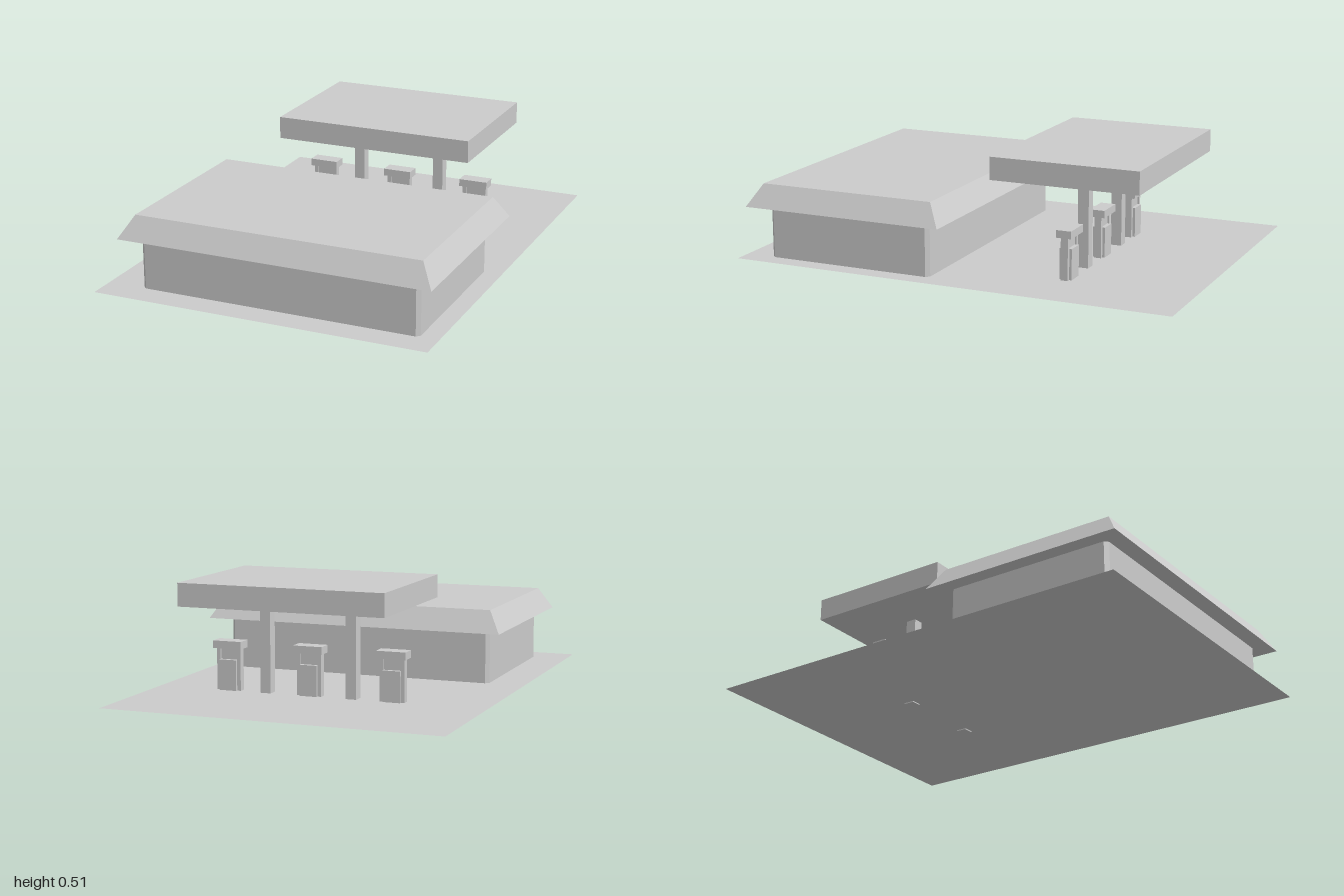
import * as THREE from 'three';

const GROUND = 0.005;

export function createModel() {
  const root = new THREE.Group();
  root.name = 'fillingStation';
  const grey = new THREE.MeshStandardMaterial({ color: 0xcccccc, flatShading: true });
  const thin = new THREE.MeshStandardMaterial({ color: 0xcccccc, flatShading: true, side: THREE.DoubleSide });

  const add = (parent, name, geometry, material = grey) => {
    const mesh = new THREE.Mesh(geometry, material);
    mesh.name = name;
    parent.add(mesh);
    return mesh;
  };
  // Box given by its extents along each axis
  const box = (parent, name, [x0, x1], [y0, y1], [z0, z1]) =>
    add(parent, name, new THREE.BoxGeometry(x1 - x0, y1 - y0, z1 - z0)
      .translate((x0 + x1) / 2, (y0 + y1) / 2, (z0 + z1) / 2));

  // Forecourt slab, a single thin sheet
  add(root, 'forecourt', new THREE.PlaneGeometry(1.5, 2).rotateX(-Math.PI / 2).translate(0, GROUND, 0), thin);

  // Shop walls: rectangle with small chamfered corners
  const shop = new THREE.Group();
  shop.name = 'shop';
  root.add(shop);
  const [x0, x1, z0, z1, c] = [-0.588, 0.668, 0.108, 0.878, 0.016];
  const plan = new THREE.Shape([
    [x0 + c, -z1], [x1 - c, -z1], [x1, -z1 + c], [x1, -z0 - c],
    [x1 - c, -z0], [x0 + c, -z0], [x0, -z0 - c], [x0, -z1 + c],
  ].map(([x, y]) => new THREE.Vector2(x, y)));
  const walls = new THREE.ExtrudeGeometry(plan, { depth: 0.245 - GROUND, bevelEnabled: false });
  add(shop, 'walls', walls.rotateX(-Math.PI / 2).translate(0, GROUND, 0));

  // Shop roof: box whose top face is drawn in on all sides
  const roof = new THREE.BoxGeometry(1.4, 0.098, 0.925);
  const p = roof.attributes.position;
  for (let i = 0; i < p.count; i++) {
    if (p.getY(i) > 0) {
      p.setX(i, Math.sign(p.getX(i)) * 0.642);
      p.setZ(i, Math.sign(p.getZ(i)) * 0.404);
    }
  }
  roof.computeVertexNormals();
  add(shop, 'roof', roof.translate(0.044, 0.289, 0.491));

  // Pump canopy on two columns
  box(root, 'canopy', [-0.415, 0.502], [0.41, 0.51], [-0.765, -0.098]);
  for (const x of [-0.15, 0.245]) {
    box(root, 'column', [x - 0.024, x + 0.024], [0, 0.412], [-0.453, -0.404]);
  }

  // Row of three pumps, each a cabinet and recessed display between two posts
  for (const x of [-0.332, 0.045, 0.422]) {
    const pump = new THREE.Group();
    pump.name = 'pump';
    pump.position.set(x, 0, -0.429);
    root.add(pump);
    box(pump, 'cabinet', [-0.039, 0.039], [GROUND, 0.14], [-0.027, 0.028]);
    box(pump, 'display', [-0.039, 0.039], [0.14, 0.19], [-0.009, 0.009]);
    for (const s of [-1, 1]) {
      box(pump, 'post', [s * 0.0475 - 0.0085, s * 0.0475 + 0.0085], [GROUND, 0.19], [-0.016, 0.016]);
    }
    box(pump, 'cap', [-0.066, 0.066], [0.19, 0.223], [-0.034, 0.034]);
  }
  return root;
}
